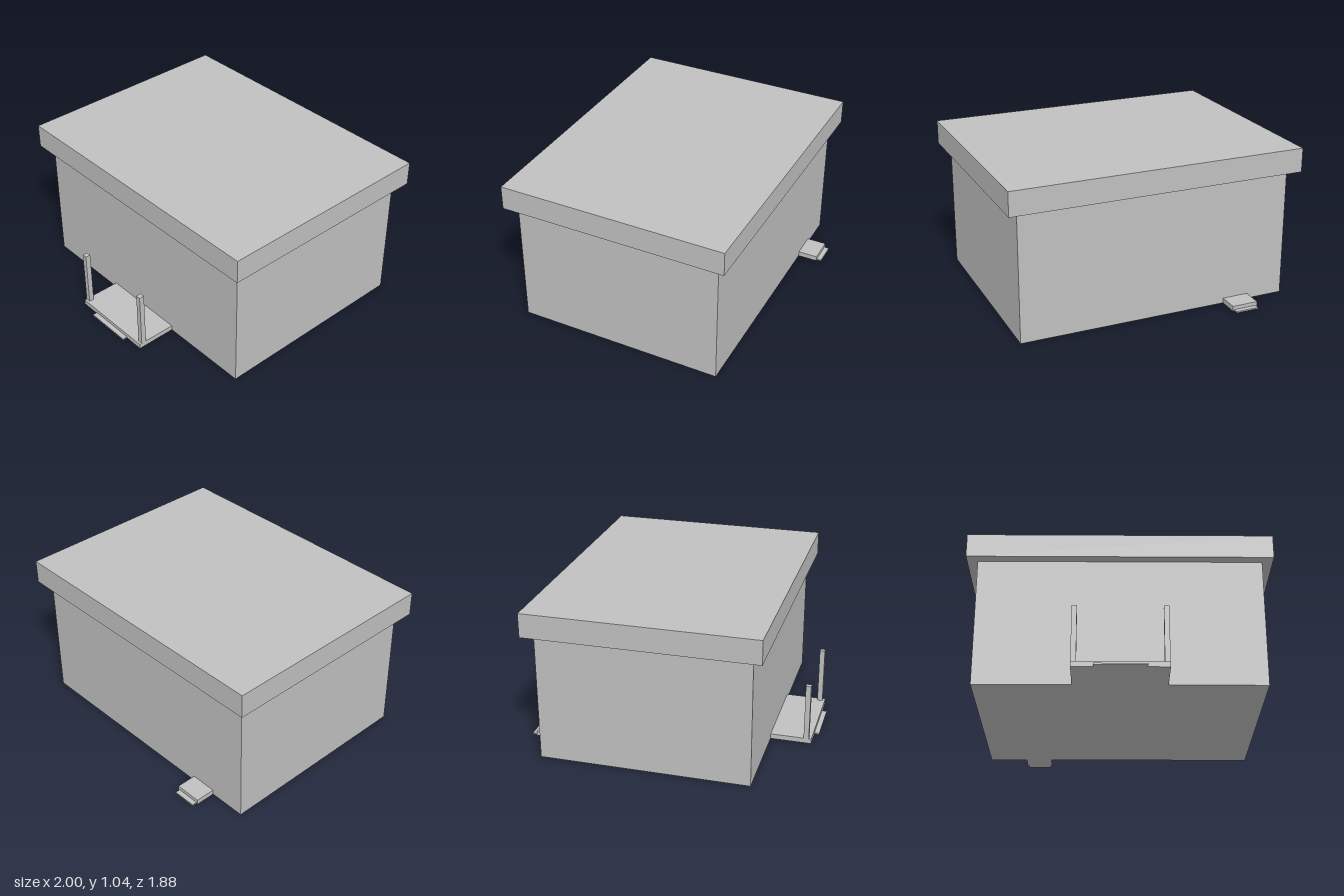
import * as THREE from 'three';

export function createModel() {
  const model = new THREE.Group();
  model.name = 'building';
  const grey = new THREE.MeshStandardMaterial({ color: 0xc0c0c0 });
  grey.name = 'plain grey';

  // Box given by its extents on each axis
  function addBox(name, [x0, x1], [y0, y1], [z0, z1], parent = model) {
    const mesh = new THREE.Mesh(new THREE.BoxGeometry(x1 - x0, y1 - y0, z1 - z0), grey);
    mesh.position.set((x0 + x1) / 2, (y0 + y1) / 2, (z0 + z1) / 2);
    mesh.name = name;
    parent.add(mesh);
  }

  // Main block and overhanging flat roof
  addBox('walls', [-0.93, 0.93], [0, 0.875], [-0.77, 0.63]);
  addBox('roof', [-1, 1], [0.875, 1.037], [-0.836, 0.697]);

  // Front entrance: landing, low step and a pair of posts
  const entrance = new THREE.Group();
  entrance.name = 'frontEntrance';
  addBox('landing', [-0.302, 0.302], [0, 0.035], [0.63, 0.905], entrance);
  addBox('lowStep', [-0.165, 0.165], [0, 0.01], [0.905, 0.938], entrance);
  addBox('rightPost', [-0.302, -0.268], [0.035, 0.422], [0.853, 0.888], entrance);
  addBox('leftPost', [0.268, 0.302], [0.035, 0.422], [0.853, 0.888], entrance);
  model.add(entrance);

  // Small back doorstep
  const backSteps = new THREE.Group();
  backSteps.name = 'backSteps';
  addBox('upperStep', [-0.674, -0.493], [0, 0.035], [-0.905, -0.77], backSteps);
  addBox('lowerStep', [-0.664, -0.503], [0, 0.01], [-0.938, -0.905], backSteps);
  model.add(backSteps);

  return model;
}
